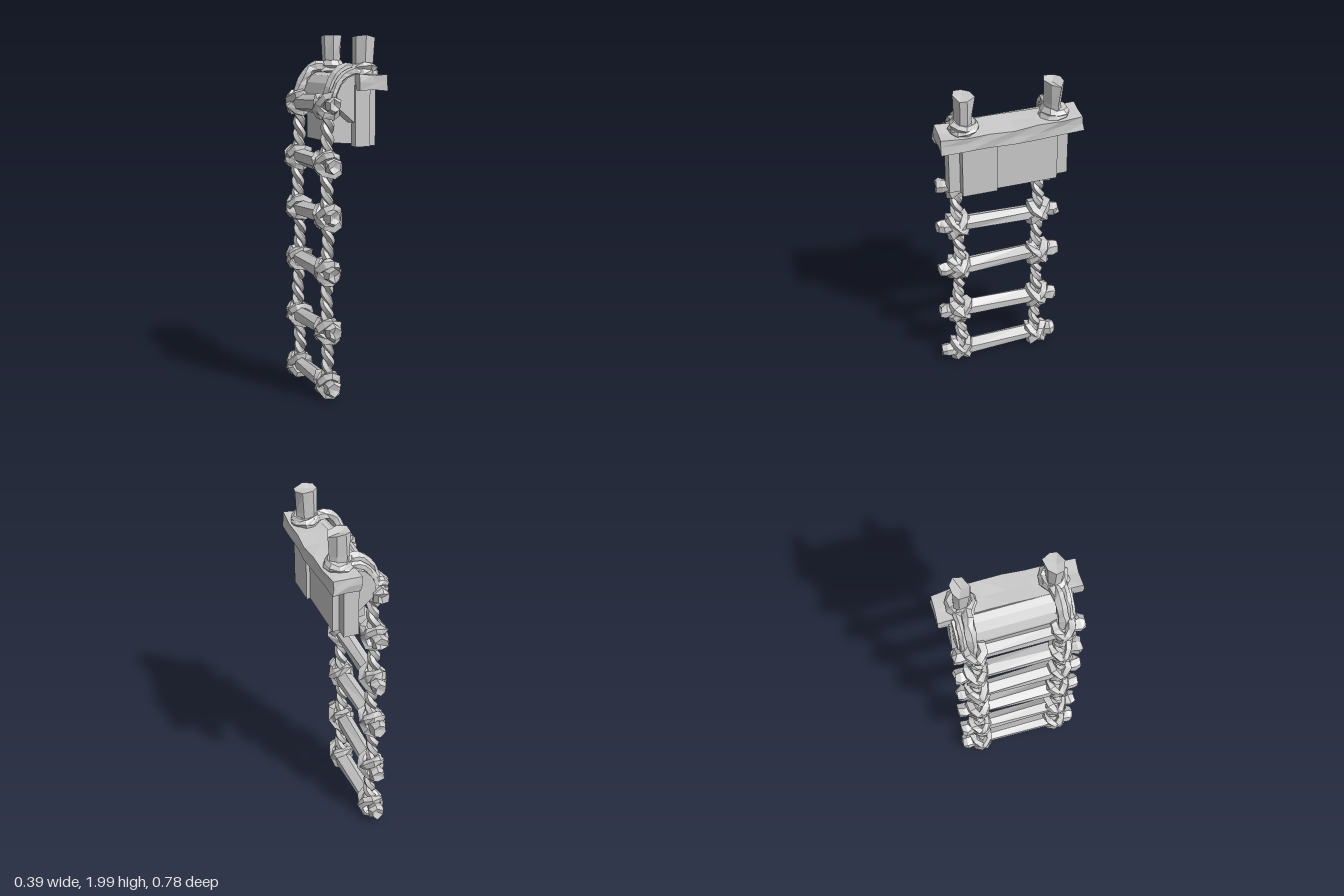
import * as THREE from 'three';

const material = new THREE.MeshStandardMaterial({ color: 0xcccccc, flatShading: true });

// Repeatable offset in -1..1 that depends only on position, so seams stay closed
const hash = (x, y, z, k) => {
  const r = (v) => Math.round(v * 1000);
  const s = Math.sin(r(x) * 12.9898 + r(y) * 78.233 + r(z) * 37.719 + k * 11.13) * 43758.5453;
  return (s - Math.floor(s)) * 2 - 1;
};

// Roughen a geometry for a hand-hewn look
function rough(geo, amount, seed = 0) {
  const p = geo.attributes.position;
  for (let i = 0; i < p.count; i++) {
    const x = p.getX(i), y = p.getY(i), z = p.getZ(i);
    p.setXYZ(i, x + amount * hash(x, y, z, seed + 1), y + amount * hash(x, y, z, seed + 2), z + amount * hash(x, y, z, seed + 3));
  }
  geo.computeVertexNormals();
  return geo;
}

function add(parent, name, geo, x = 0, y = 0, z = 0) {
  const mesh = new THREE.Mesh(geo, material);
  mesh.name = name;
  mesh.position.set(x, y, z);
  parent.add(mesh);
  return mesh;
}

const tube = (points, radius, steps, sides = 6) =>
  new THREE.TubeGeometry(new THREE.CatmullRomCurve3(points.map((p) => new THREE.Vector3(...p))), steps, radius, sides);

const ropeX = -0.11, ropeZ = 0.235;
const rungHeights = [0.09, 0.39, 0.72, 1.02, 1.31, 1.62];

// Six-sided rung with chipped, flared ends, lying along z
function rung(seed) {
  const profile = [[0, -0.345], [0.036, -0.355], [0.048, -0.325], [0.038, -0.28], [0.049, -0.17], [0.05, 0.17],
    [0.038, 0.28], [0.048, 0.325], [0.036, 0.355], [0, 0.345]].map((p) => new THREE.Vector2(...p));
  const geo = new THREE.LatheGeometry(profile, 6);
  geo.rotateX(Math.PI / 2);
  return rough(geo, 0.007, seed);
}

// Two crossed rope loops lashed around a rung
function knot(seed) {
  const group = new THREE.Group();
  group.name = 'knot';
  for (const s of [-1, 1]) {
    const geo = new THREE.TorusGeometry(0.055, 0.027, 5, 9);
    geo.scale(1, 1.2, 1);
    geo.rotateX(s * 0.72);
    add(group, 'knotLoop', rough(geo, 0.008, seed + s));
  }
  return group;
}

// Two strands twisted tightly around each other
function rope(side) {
  const group = new THREE.Group();
  group.name = 'sideRope';
  for (const phase of [0, Math.PI]) {
    const points = [];
    for (let i = 0; i <= 120; i++) {
      const y = 0.06 + (1.57 * i) / 120, a = i * 0.6 + phase;
      points.push([ropeX + 0.005 * Math.sin(y * 9) + 0.017 * Math.cos(a), y,
        side * (ropeZ - 0.006 * Math.sin(y * 10)) + 0.017 * Math.sin(a)]);
    }
    add(group, 'ropeStrand', tube(points, 0.022, 160, 5));
  }
  return group;
}

// Timber drawn in x/y and extruded along z, centred
function timber(points, length) {
  const shape = new THREE.Shape(points.map((p) => new THREE.Vector2(...p)));
  const geo = new THREE.ExtrudeGeometry(shape, { depth: length, bevelEnabled: false });
  geo.translate(0, 0, -length / 2);
  return geo;
}

export function createModel() {
  const model = new THREE.Group();
  model.name = 'ropeLadder';

  // Rungs and their lashings
  rungHeights.forEach((y, i) => {
    add(model, 'rung', rung(i * 10), ropeX, y, 0).rotation.x = 0.02 * (i % 2 ? -1 : 1);
    for (const s of [-1, 1]) {
      const k = knot(i * 7 + s * 3);
      k.position.set(ropeX, y, s * (ropeZ + 0.002));
      model.add(k);
    }
  });

  // Rounded lip the ropes run over, and the shorter backing beneath it
  add(model, 'roundedLip', timber([[0.09, 1.6], [0.09, 1.74], [0.02, 1.79], [-0.02, 1.775], [-0.06, 1.735],
    [-0.085, 1.68], [-0.085, 1.62], [0.02, 1.53]], 0.63));
  add(model, 'backing', timber([[0.06, 1.41], [0.06, 1.62], [-0.075, 1.66], [-0.07, 1.42]], 0.4));

  // Staggered upright boards
  for (const [z0, z1, x1] of [[0.27, 0.33, 0.1], [0.08, 0.27, 0.155], [-0.26, 0.08, 0.135], [-0.33, -0.26, 0.1]]) {
    add(model, 'uprightBoard', new THREE.BoxGeometry(0.085, 0.33, z1 - z0), x1 - 0.0425, 1.57, (z0 + z1) / 2);
  }

  // Top beam, bowed outward at the middle
  const beam = new THREE.BoxGeometry(0.155, 0.085, 0.77, 2, 2, 6);
  const p = beam.attributes.position;
  for (let i = 0; i < p.count; i++) {
    const z = p.getZ(i);
    if (p.getX(i) > 0.05) p.setX(i, p.getX(i) + 0.012 * (1 - (z / 0.385) ** 2));
  }
  add(model, 'topBeam', rough(beam, 0.006, 4), 0.1, 1.752, 0).rotation.x = 0.01;

  for (const s of [-1, 1]) {
    model.add(rope(s));

    // Hewn post with a splintered top
    const post = new THREE.CylinderGeometry(0.064, 0.05, 0.255, 7, 2);
    post.scale(1, 1, 0.84);
    add(model, 'post', rough(post, 0.009, s * 5), 0.092, 1.863, s * 0.243);

    // Rope wound twice around the post
    for (const [y, tilt, r] of [[1.8, 0.1, 0.06], [1.822, -0.14, 0.055]]) {
      const ring = new THREE.TorusGeometry(r, 0.025, 5, 10);
      ring.rotateX(Math.PI / 2 + tilt);
      add(model, 'postLashing', rough(ring, 0.007, s * 9), 0.095, y, s * 0.245);
    }

    // Ropes arching from the post down to the top knot
    add(model, 'archRope', rough(tube([[0.06, 1.815, s * 0.225], [0.01, 1.822, s * 0.235], [-0.04, 1.805, s * 0.24],
      [-0.08, 1.75, s * 0.24], [-0.1, 1.69, s * 0.24], [-0.11, 1.62, s * 0.235]], 0.031, 9), 0.006, s));
    add(model, 'archRope', rough(tube([[0.06, 1.805, s * 0.285], [0.01, 1.805, s * 0.28], [-0.035, 1.78, s * 0.28],
      [-0.075, 1.725, s * 0.28], [-0.1, 1.65, s * 0.285]], 0.023, 8), 0.005, s + 3));
  }
  return model;
}
